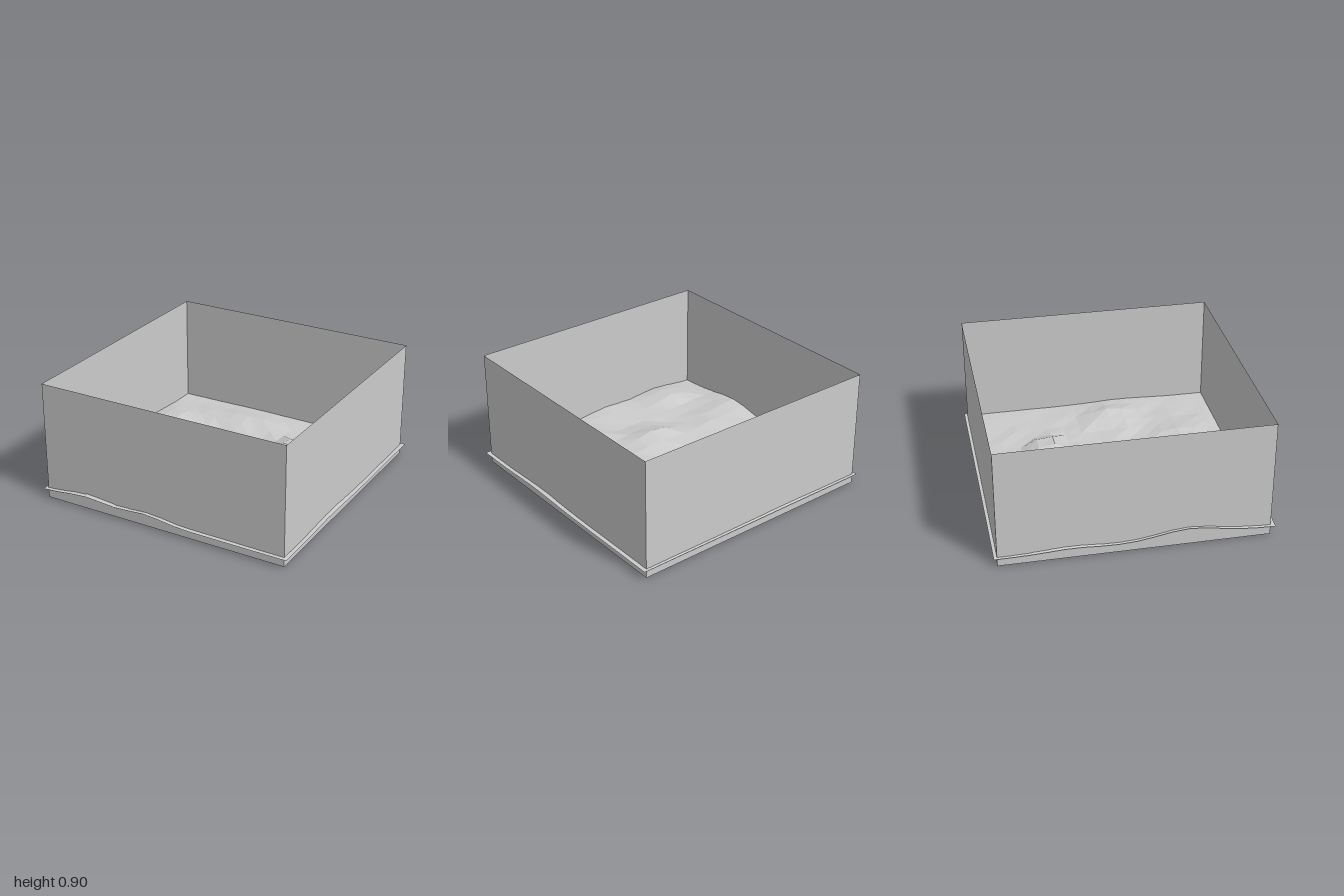
import * as THREE from 'three';

// Hills of the ground: x, z, height, radius in x, radius in z
const HILLS = [
  [0.3, -0.42, 0.12, 0.14, 0.12],
  [0.72, 0.15, 0.06, 0.16, 0.2],
  [-0.13, 0.36, 0.07, 0.17, 0.14],
  [-0.12, 1.0, 0.035, 0.2, 0.25],
  [-0.62, 0.8, 0.07, 0.22, 0.16],
  [-0.62, 1.05, 0.025, 0.25, 0.15],
  [-0.98, 0.38, 0.07, 0.2, 0.3],
  [-0.65, 0.3, 0.04, 0.18, 0.2],
  [-0.8, -0.45, 0.05, 0.2, 0.22],
  [-0.25, -0.72, 0.05, 0.35, 0.15],
  [0.35, 0.65, 0.04, 0.2, 0.18],
  [1.0, 0.35, 0.012, 0.15, 0.25],
];

function groundHeight(x, z) {
  let y = 0.072;
  for (const [hx, hz, h, rx, rz] of HILLS) {
    y += h * Math.exp(-(((x - hx) / rx) ** 2) - ((z - hz) / rz) ** 2);
  }
  // small unevenness that fades out towards the rim
  const fade = (1 - x ** 4) * (1 - z ** 4);
  return y + fade * 0.008 * (1 + Math.sin(x * 17 + z * 9) * Math.cos(z * 21 - x * 5));
}

export function createModel() {
  const model = new THREE.Group();
  const material = new THREE.MeshStandardMaterial({
    color: 0xcccccc, flatShading: true, side: THREE.DoubleSide,
  });

  // Faceted ground sheet, a 16 x 16 grid lifted by the hills
  const groundGeometry = new THREE.PlaneGeometry(2, 2, 16, 16);
  groundGeometry.rotateX(-Math.PI / 2).rotateY(Math.PI / 2);
  const p = groundGeometry.attributes.position;
  for (let i = 0; i < p.count; i++) {
    p.setY(i, groundHeight(p.getX(i), p.getZ(i)));
  }
  groundGeometry.computeVertexNormals();
  const ground = new THREE.Mesh(groundGeometry, material);
  ground.name = 'ground';
  model.add(ground);

  // Four thin walls, open above and below, slightly off centre
  const size = 1.945, height = 0.905, offset = -0.004;
  const walls = new THREE.Group();
  walls.name = 'walls';
  ['frontWall', 'leftWall', 'backWall', 'rightWall'].forEach((name, i) => {
    const geometry = new THREE.PlaneGeometry(size, height);
    geometry.translate(0, height / 2, size / 2);
    const wall = new THREE.Mesh(geometry, material);
    wall.rotation.y = (i * Math.PI) / 2;
    wall.name = name;
    walls.add(wall);
  });
  walls.position.set(offset, 0, offset);
  model.add(walls);

  return model;
}
